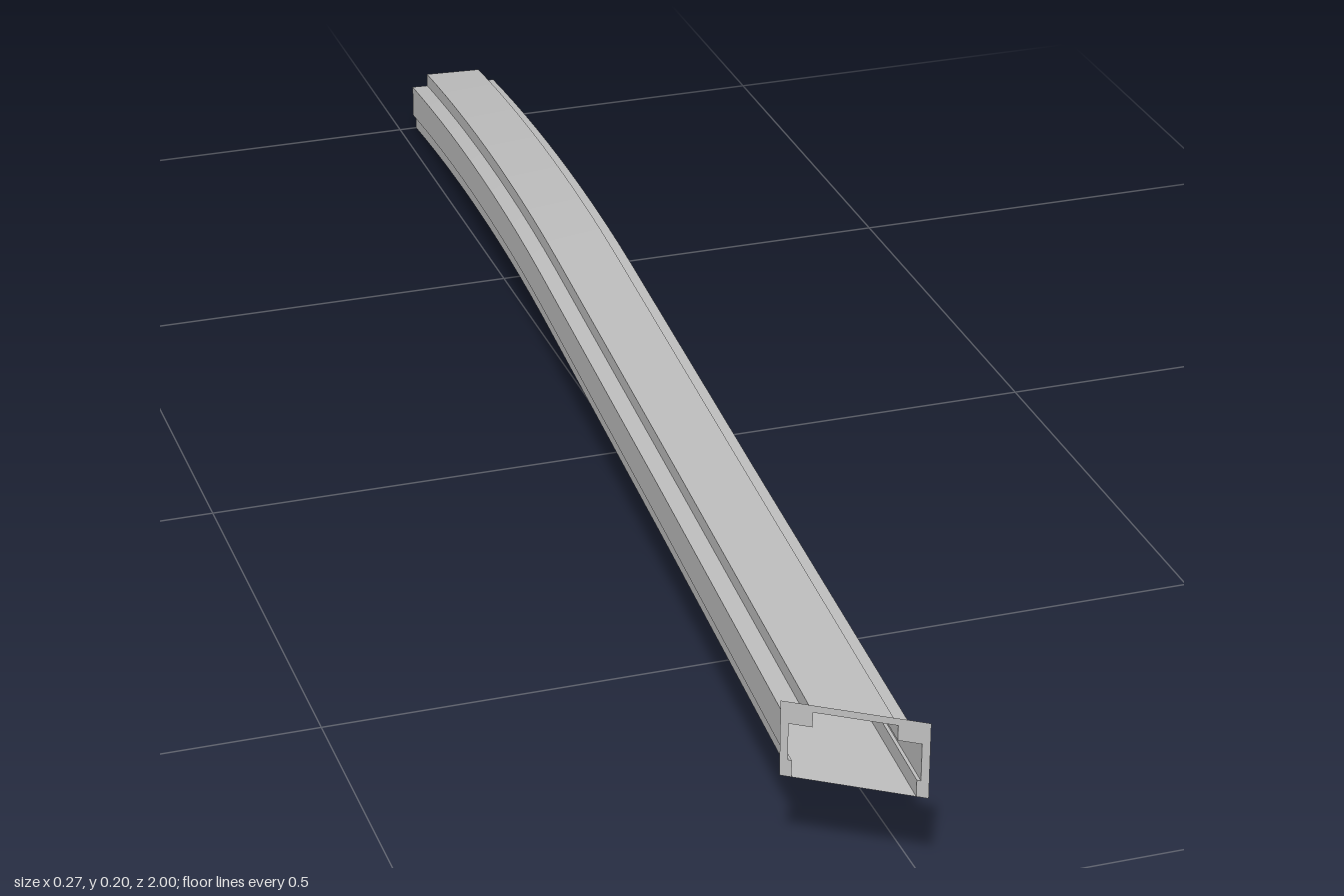
import * as THREE from 'three';

const FRONT_Z = 0.955, BEND_Z = -0.2, BACK_Z = -0.996;

// Half of the channel cross-section as [across, up], bottom to top
const half = [[0.053, 0], [0.053, 0.019], [0.0565, 0.019], [0.0565, 0.061], [0.036, 0.061], [0.036, 0.078]];
const mirrored = half.map(([u, v]) => [-u, v]).reverse();
const profile = [...half, ...mirrored]; // counter-clockwise seen from the front

// Centre of the underside: gently sloping, then bending down to the back
function pathPoint(z) {
  const t = Math.max(0, (BEND_Z - z) / (BEND_Z - BACK_Z));
  const y = t > 0
    ? 0.087 - 0.018 * t - 0.069 * Math.pow(t, 1.8)
    : 0.087 + 0.027 * (z - BEND_Z) / (FRONT_Z - BEND_Z);
  return new THREE.Vector3(0.0004 - 0.0754 * z, y, z);
}

// The front end is cut at a slant, all other sections are square to the path
function place(z, u, v) {
  const p = pathPoint(z);
  const front = z === FRONT_Z;
  return [p.x + u * (front ? 0.985 : 0.997), p.y + v, p.z + u * (front ? 0.68 : 0.075)];
}

// One smooth strip along the path for each side of the cross-section
function stripGeometry(a, b, stations) {
  const positions = [], index = [];
  stations.forEach((z, i) => {
    positions.push(...place(z, ...a), ...place(z, ...b));
    if (i > 0) {
      const k = 2 * (i - 1);
      index.push(k, k + 2, k + 1, k + 1, k + 2, k + 3);
    }
  });
  const g = new THREE.BufferGeometry();
  g.setAttribute('position', new THREE.Float32BufferAttribute(positions, 3));
  g.setIndex(index);
  g.computeVertexNormals();
  return g;
}

export function createModel() {
  const model = new THREE.Group();
  model.name = 'curvedRail';
  const grey = new THREE.MeshStandardMaterial({ color: 0xc0c0c0, side: THREE.DoubleSide });
  grey.name = 'lightGrey';

  // Hollow rail, open at both ends
  const stations = [FRONT_Z, 0.4, -0.1, BEND_Z];
  for (let i = 1; i <= 12; i++) stations.push(BEND_Z + (BACK_Z - BEND_Z) * i / 12);
  const rail = new THREE.Group();
  rail.name = 'rail';
  profile.forEach((a, i) => {
    const b = profile[(i + 1) % profile.length];
    const strip = new THREE.Mesh(stripGeometry(a, b, stations), grey);
    strip.name = 'railSide' + (i + 1);
    rail.add(strip);
  });
  model.add(rail);

  // Thin slanted plate around the front opening, open at the bottom
  const outline = [[-0.0635, 0], ...mirrored.slice().reverse(), ...half.slice().reverse(),
    [0.0635, 0], [0.0635, 0.086], [-0.0635, 0.086]];
  const shape = new THREE.Shape(outline.map(([u, v]) => new THREE.Vector2(u, v)));
  const plateGeometry = new THREE.ShapeGeometry(shape);
  const pos = plateGeometry.attributes.position;
  for (let i = 0; i < pos.count; i++) pos.setXYZ(i, ...place(FRONT_Z, pos.getX(i), pos.getY(i)));
  plateGeometry.computeVertexNormals();
  const plate = new THREE.Mesh(plateGeometry, grey);
  plate.name = 'frontPlate';
  model.add(plate);

  return model;
}
